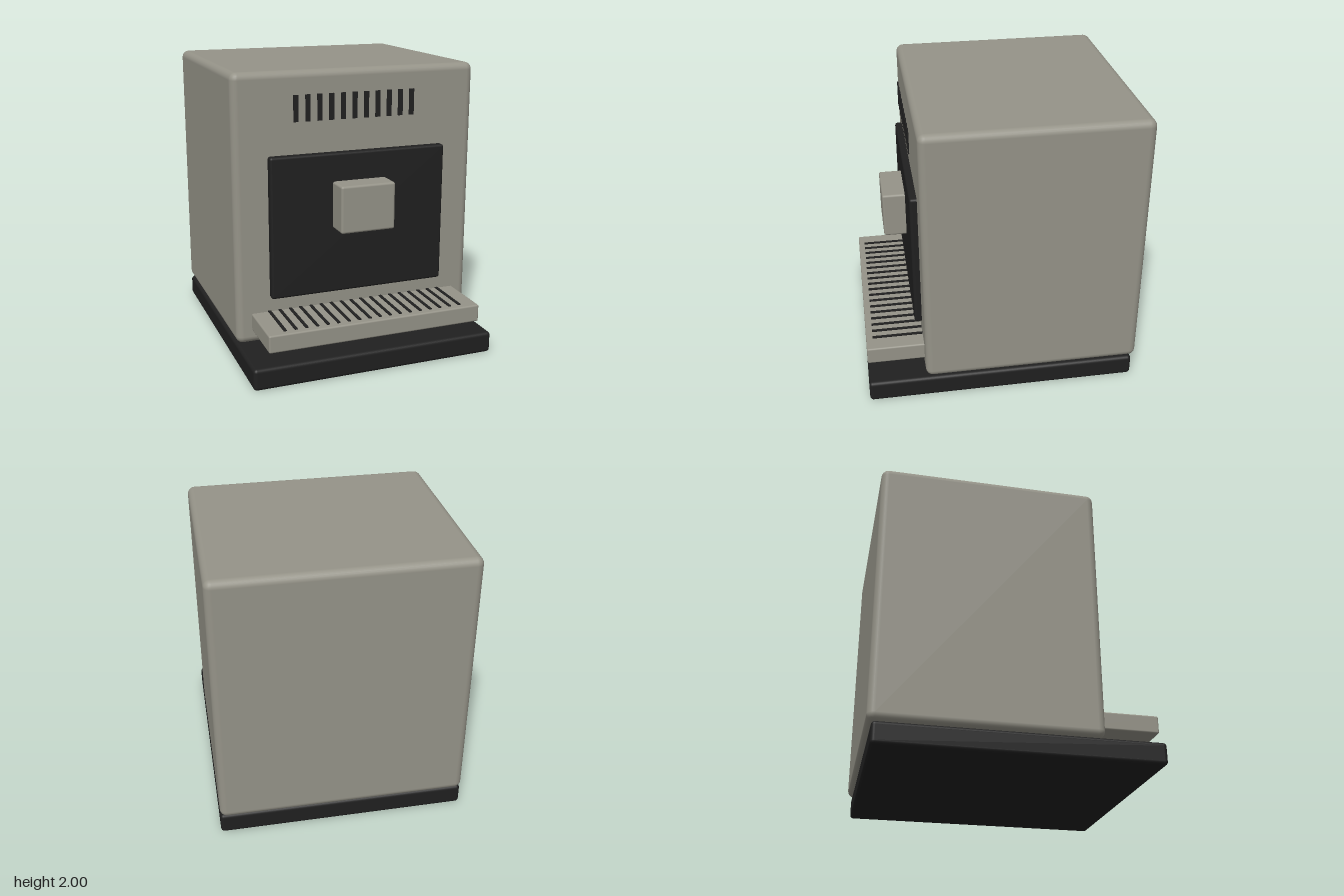
import * as THREE from 'three';
import { RoundedBoxGeometry } from 'three/addons/geometries/RoundedBoxGeometry.js';

export function createModel() {
  const model = new THREE.Group();
  const shell = new THREE.MeshStandardMaterial({ color: 0x959388 });
  shell.name = 'warm grey';
  const dark = new THREE.MeshStandardMaterial({ color: 0x202020 });
  dark.name = 'black';

  // Box given by its limits on each axis; radius 0 gives sharp edges
  function block(name, material, [x0, x1], [y0, y1], [z0, z1], radius = 0, parent = model) {
    const size = [x1 - x0, y1 - y0, z1 - z0];
    const geometry = radius
      ? new RoundedBoxGeometry(...size, 3, radius)
      : new THREE.BoxGeometry(...size);
    const mesh = new THREE.Mesh(geometry, material);
    mesh.name = name;
    mesh.position.set((x0 + x1) / 2, (y0 + y1) / 2, (z0 + z1) / 2);
    parent.add(mesh);
    return mesh;
  }

  // Base and housing
  block('base', dark, [-0.865, 0.865], [0, 0.15], [-0.925, 0.955], 0.025);
  block('housing', shell, [-0.865, 0.865], [0.155, 2], [-0.955, 0.555], 0.05);

  // Front panel and dispensing head
  block('frontPanel', dark, [-0.63, 0.63], [0.47, 1.448], [0.535, 0.605], 0.018);
  block('dispensingHead', shell, [-0.193, 0.193], [0.93, 1.255], [0.59, 0.765], 0.016);

  // Row of vent slots
  const vents = new THREE.Group();
  vents.name = 'vents';
  for (let i = 0; i < 11; i++) {
    const x = -0.44 + i * 0.0825;
    block('ventSlot', dark, [x - 0.017, x + 0.017], [1.668, 1.845], [0.574, 0.582], 0, vents);
  }
  model.add(vents);

  // Drip tray with grille slots
  block('dripTray', shell, [-0.76, 0.76], [0.248, 0.37], [0.45, 0.953], 0.012);
  const grille = new THREE.Group();
  grille.name = 'trayGrille';
  for (let i = 0; i < 18; i++) {
    const x = -0.636 + i * 0.0745;
    block('grilleSlot', dark, [x - 0.01, x + 0.01], [0.368, 0.377], [0.5, 0.908], 0, grille);
  }
  model.add(grille);

  return model;
}
